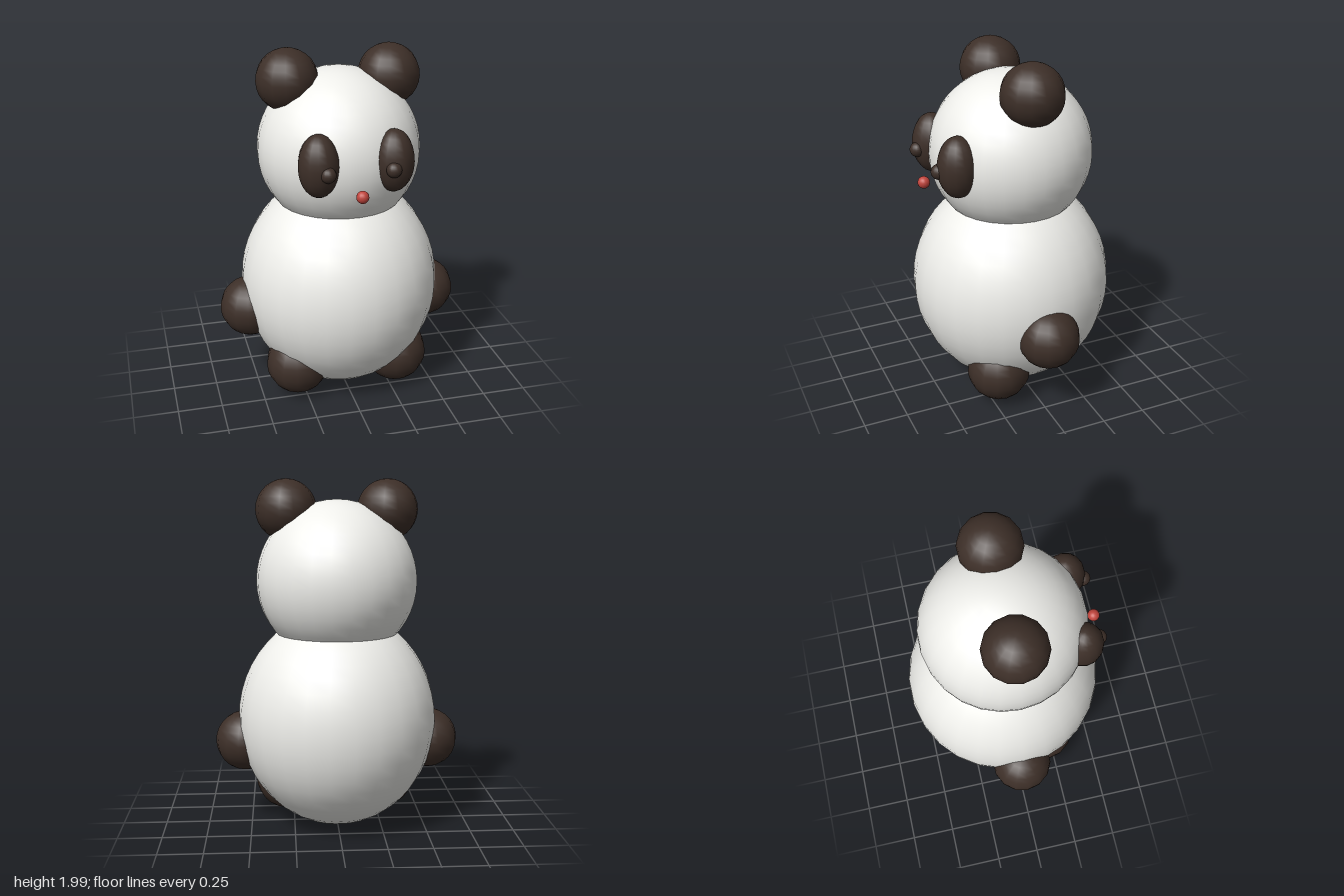
import * as THREE from 'three';

const white = new THREE.MeshStandardMaterial({ color: 0xeeeeea });
const dark = new THREE.MeshStandardMaterial({ color: 0x3d2f28 });
const red = new THREE.MeshStandardMaterial({ color: 0xc0443c });

// Ellipsoid with radii [x, y, z] at a position
function ball(name, radii, position, material, segments = 14, rings = 14) {
  const geometry = new THREE.SphereGeometry(1, segments, rings);
  geometry.scale(...radii);
  const mesh = new THREE.Mesh(geometry, material);
  mesh.name = name;
  mesh.position.set(...position);
  return mesh;
}

export function createModel() {
  const model = new THREE.Group();
  model.name = 'bear';

  // Large white masses
  model.add(ball('body', [0.568, 0.624, 0.571], [0, 0.635, 0], white, 26, 24));
  model.add(ball('head', [0.456, 0.456, 0.458], [0, 1.43, 0], white, 26, 24));

  // Mirrored dark parts
  for (const [side, s] of [['left', 1], ['right', -1]]) {
    model.add(ball(side + 'Ear', [0.172, 0.172, 0.174], [s * 0.285, 1.828, 0], dark));
    model.add(ball(side + 'Arm', [0.172, 0.172, 0.174], [s * 0.53, 0.505, 0], dark));
    model.add(ball(side + 'Foot', [0.181, 0.181, 0.181], [s * 0.293, 0.21, 0.2], dark));
    model.add(ball(side + 'EyePatch', [0.11, 0.171, 0.112], [s * 0.203, 1.46, 0.388], dark));
    model.add(ball(side + 'Pupil', [0.042, 0.042, 0.042], [s * 0.175, 1.44, 0.485], dark));
  }

  // Small nose just in front of the face
  model.add(ball('nose', [0.034, 0.034, 0.034], [0, 1.315, 0.512], red));

  return model;
}
